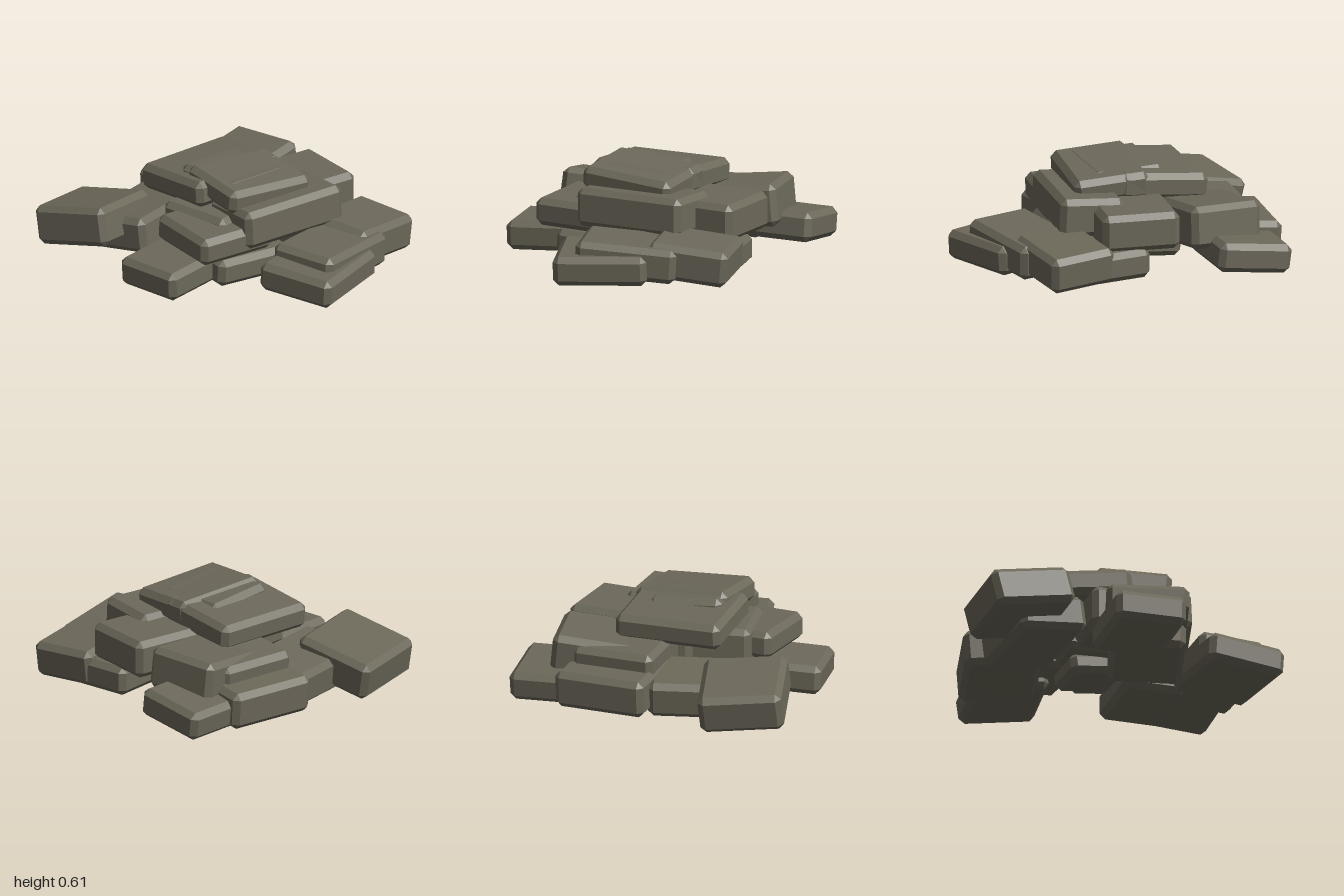
import * as THREE from 'three';
import { ConvexGeometry } from 'three/addons/geometries/ConvexGeometry.js';

// Box with every edge and corner cut flat
function chamferedBox(w, h, d, bevel) {
  const points = [];
  for (const sx of [-1, 1]) for (const sy of [-1, 1]) for (const sz of [-1, 1]) {
    const x = w / 2, y = h / 2, z = d / 2, b = bevel;
    points.push(
      new THREE.Vector3(sx * x, sy * (y - b), sz * (z - b)),
      new THREE.Vector3(sx * (x - b), sy * y, sz * (z - b)),
      new THREE.Vector3(sx * (x - b), sy * (y - b), sz * z));
  }
  return new ConvexGeometry(points);
}

export function createModel() {
  const group = new THREE.Group();
  group.name = 'stonePile';
  const stone = new THREE.MeshStandardMaterial({ color: 0x6c685a, flatShading: true });
  stone.name = 'greyBrownStone';

  // position, size [w, h, d], yaw, pitch, roll
  function slab(name, position, size, yaw = 0, pitch = 0, roll = 0) {
    const mesh = new THREE.Mesh(chamferedBox(...size, 0.035), stone);
    mesh.name = name;
    mesh.position.set(...position);
    mesh.rotation.set(pitch, yaw, roll, 'YXZ');
    group.add(mesh);
  }

  // Ground layer, back
  slab('backRightCornerSlab', [-0.555, 0.18, -0.705], [0.51, 0.24, 0.52], 0.14, -0.21, -0.09);
  slab('backRightSlab', [-0.27, 0.14, -0.54], [0.65, 0.22, 0.43], 0.13, -0.13, 0);
  slab('backMiddleSlab', [0.28, 0.155, -0.61], [0.58, 0.23, 0.47], -0.18, -0.07, 0);
  slab('backLeftSlab', [0.63, 0.14, -0.5], [0.52, 0.18, 0.47], -0.06, -0.13, -0.02);

  // Ground layer, sides
  slab('farRightSlab', [-0.6, 0.11, 0.03], [0.59, 0.18, 0.44], 0.02, 0, 0.04);
  slab('innerRightSlab', [-0.24, 0.1, 0.17], [0.54, 0.17, 0.45], -0.2, 0.03, -0.04);
  slab('innerLeftSlab', [0.15, 0.11, -0.08], [0.34, 0.13, 0.36], 0.1, -0.14, 0);
  slab('lowerLeftSlab', [0.38, 0.12, 0.31], [0.54, 0.18, 0.4], 0.05, 0, 0);

  // Ground layer, front
  slab('frontRightSlab', [-0.1, 0.115, 0.715], [0.57, 0.18, 0.5], 0.2, 0.05, 0.03);
  slab('frontMiddleSlab', [0.055, 0.155, 0.67], [0.62, 0.21, 0.43], 0.14, 0.02, -0.06);
  slab('frontLeftSlab', [0.43, 0.155, 0.58], [0.5, 0.22, 0.43], 0.07, 0.05, -0.09);

  // Middle layer
  slab('middleBackSlab', [0.24, 0.28, -0.45], [0.52, 0.21, 0.46], -0.16, -0.08, 0);
  slab('middleBackLeftSlab', [0.4, 0.275, -0.375], [0.56, 0.26, 0.47], 0.06, -0.04, 0.1);
  slab('middleLeftSlab', [0.36, 0.315, 0.105], [0.57, 0.23, 0.48], -0.2, 0, 0);
  slab('middleRightSlab', [-0.38, 0.285, 0.13], [0.52, 0.17, 0.5], -0.21, 0.02, 0);
  slab('coreSlab', [-0.16, 0.28, 0.0], [0.6, 0.25, 0.48], 0.06, 0, 0);
  slab('coreLeftSlab', [0.15, 0.25, -0.1], [0.54, 0.22, 0.42], 0.04, 0, 0);
  slab('middleFrontSlab', [0.0, 0.35, 0.285], [0.72, 0.235, 0.4], -0.19, -0.05, 0.01);

  // Top layer
  slab('upperBackSlab', [-0.05, 0.465, -0.2], [0.67, 0.16, 0.56], -0.12, -0.09, 0);
  slab('upperFrontSlab', [-0.06, 0.5, 0.11], [0.6, 0.15, 0.47], -0.18, 0.07, -0.07);
  slab('capSlab', [-0.08, 0.5, 0.0], [0.46, 0.15, 0.46], -0.04, 0.01, -0.06);

  return group;
}
